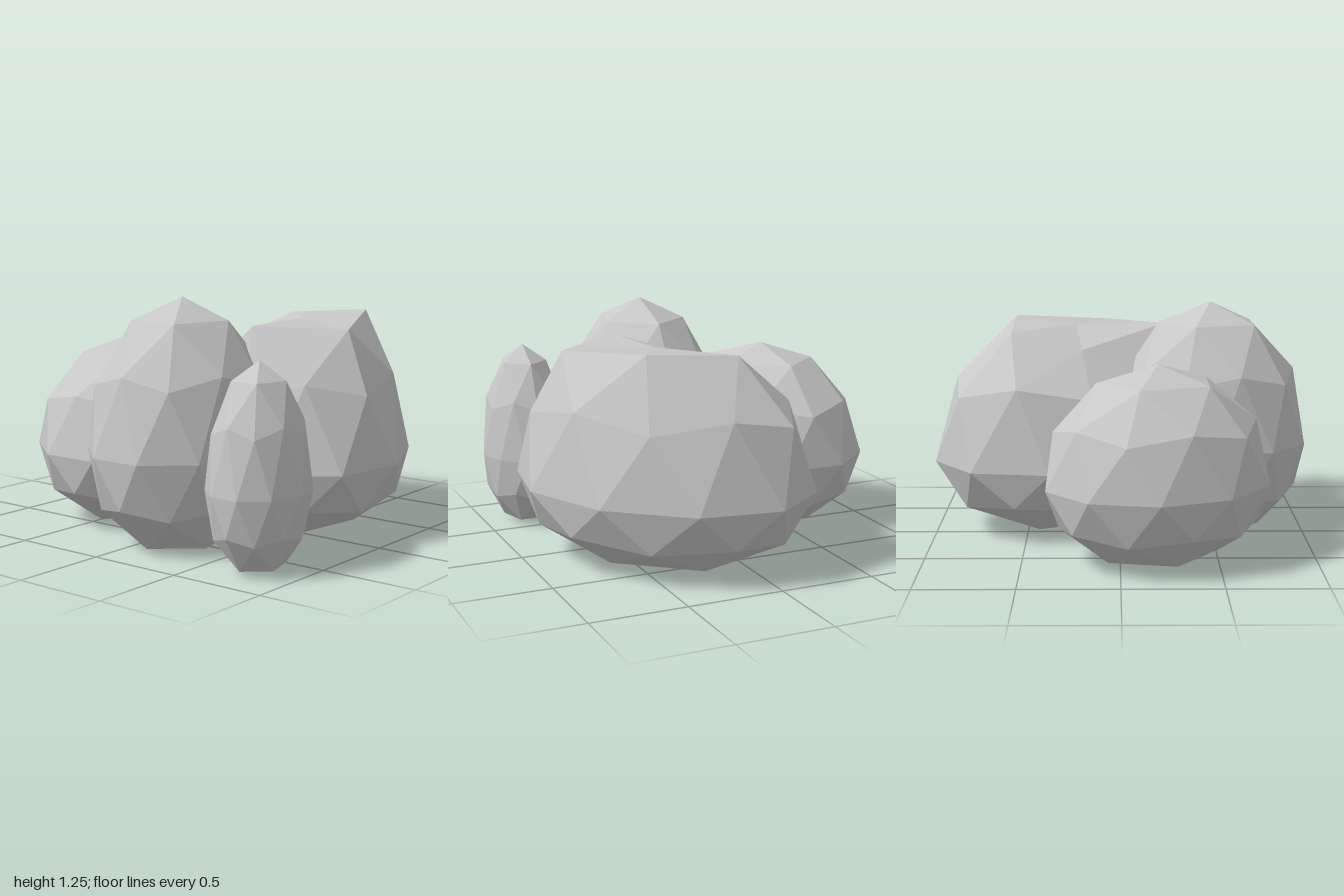
import * as THREE from 'three';

const stone = new THREE.MeshStandardMaterial({ color: 0xc8c8c8, flatShading: true });
stone.name = 'pale grey stone';

// Faceted boulder: icosphere with a vertex at the pole, skewed in plan by
// [xx, xz, zx, zz], with a shallow underside. Vertices near the pole snap to
// the nearest crown point where a crown is given.
function boulder(name, { center, middle, plan, up, down, floor = 0.015, crown = [] }) {
  const geo = new THREE.IcosahedronGeometry(1, 1);
  geo.rotateZ(-Math.atan(2 / (1 + Math.sqrt(5))));
  const p = geo.attributes.position;
  const [xx, xz, zx, zz] = plan;
  for (let i = 0; i < p.count; i++) {
    const x = p.getX(i), y = p.getY(i), z = p.getZ(i);
    const v = new THREE.Vector3(
      center[0] + xx * x + xz * z,
      Math.max(floor, middle + y * (y > 0 ? up : down)),
      center[1] + zx * x + zz * z);
    if (y > 0.8 && crown.length) {
      const gap = (c) => Math.hypot(c[0] - v.x, c[2] - v.z);
      v.fromArray(crown.reduce((a, b) => (gap(b) < gap(a) ? b : a)));
    }
    p.setXYZ(i, v.x, v.y, v.z);
  }
  geo.computeVertexNormals();
  const mesh = new THREE.Mesh(geo, stone);
  mesh.name = name;
  return mesh;
}

export function createModel() {
  const group = new THREE.Group();
  group.name = 'boulderPile';
  group.add(
    // broad rock with a flattened top that dips towards the back
    boulder('flatTopBoulder', {
      center: [0.265, 0.315], middle: 0.4, plan: [-0.735, 0.1, 0.12, -0.68],
      up: 0.82, down: 0.44,
      crown: [
        [0.24, 1.1, 0.35], [0.58, 1.13, 0.53], [0.04, 1.08, 0.77],
        [-0.25, 1.1, 0.39], [0.2, 1.0, 0.02], [0.58, 1.09, 0.04],
      ],
    }),
    // tallest rock in the middle right
    boulder('tallBoulder', {
      center: [-0.49, 0.13], middle: 0.49, plan: [0.535, 0, 0, 0.45],
      up: 0.76, down: 0.56, floor: 0,
    }),
    // rounded rock at the back
    boulder('backBoulder', {
      center: [-0.19, -0.475], middle: 0.4, plan: [0.59, 0, -0.06, 0.525],
      up: 0.6, down: 0.44,
    }),
    // narrow upright rock at the front right
    boulder('smallBoulder', {
      center: [-0.68, 0.755], middle: 0.39, plan: [0.284, 0, 0, 0.24],
      up: 0.61, down: 0.43,
    }),
  );
  return group;
}
